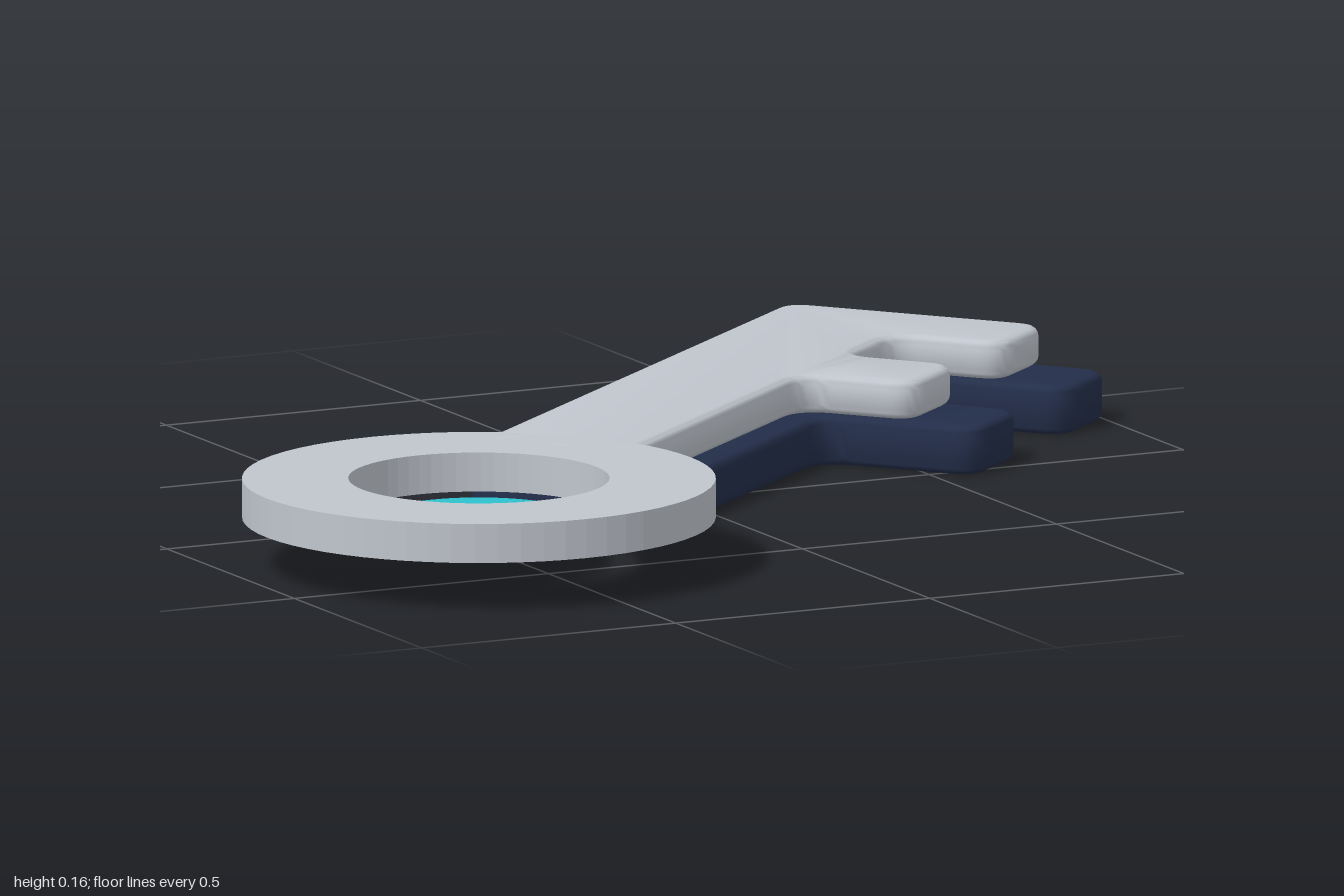
import * as THREE from 'three';
import { toCreasedNormals } from 'three/addons/utils/BufferGeometryUtils.js';

const makeMaterial = (name, color) => {
  const m = new THREE.MeshStandardMaterial({ color });
  m.name = name;
  return m;
};

// Polygon with every corner rounded by radius r
function roundedShape(points, r) {
  const shape = new THREE.Shape();
  const v = points.map(([x, y]) => new THREE.Vector2(x, y));
  v.forEach((p, i) => {
    const toward = (q) => q.clone().sub(p).setLength(r).add(p);
    const a = toward(v[(i + v.length - 1) % v.length]);
    const b = toward(v[(i + 1) % v.length]);
    if (i === 0) shape.moveTo(a.x, a.y);
    else shape.lineTo(a.x, a.y);
    shape.quadraticCurveTo(p.x, p.y, b.x, b.y);
  });
  shape.closePath();
  return shape;
}

// Lay a shape flat between two heights, with an optional rounded rim
function slab(name, shape, bottom, top, bevel, material, curveSegments) {
  const geo = new THREE.ExtrudeGeometry(shape, {
    depth: top - bottom - 2 * bevel,
    bevelEnabled: bevel > 0,
    bevelThickness: bevel,
    bevelSize: bevel,
    bevelOffset: -bevel,
    bevelSegments: 4,
    curveSegments,
  });
  geo.translate(0, 0, bottom + bevel);
  geo.rotateX(-Math.PI / 2);
  const mesh = new THREE.Mesh(bevel > 0 ? toCreasedNormals(geo, 0.7) : geo, material);
  mesh.name = name;
  return mesh;
}

// Key shaft with two teeth: half = half width of the bar, tip = reach of the teeth
function bladeShape(start, half, tip) {
  const end = 1.68;
  return roundedShape([
    [start, -half],
    [1.09, -half], [1.09, -tip], [1.29, -tip], [1.29, -half],
    [1.485, -half], [1.485, -tip], [end, -tip],
    [end, half], [start, half],
  ], 0.055);
}

function circleShape(radius, hole) {
  const shape = new THREE.Shape().absarc(0, 0, radius, 0, Math.PI * 2, false);
  if (hole) shape.holes.push(new THREE.Path().absarc(0, 0, hole, 0, Math.PI * 2, true));
  return shape;
}

export function createModel() {
  const silver = makeMaterial('silver', 0xc0c5cd);
  const navy = makeMaterial('navy', 0x232e4a);
  const teal = makeMaterial('teal', 0x2ec2cf);

  // Built around the ring centre with the shaft along +x, then turned
  const key = new THREE.Group();
  key.name = 'key';
  key.add(
    slab('ring', circleShape(0.417, 0.23), 0.09, 0.16, 0, silver, 32),
    slab('upperBlade', bladeShape(0.31, 0.143, 0.358), 0.09, 0.16, 0.018, silver, 8),
    slab('lowerBlade', bladeShape(0.345, 0.181, 0.48), 0, 0.088, 0.018, navy, 8),
    slab('centreDisc', circleShape(0.187), 0.048, 0.09, 0.01, teal, 32),
  );
  key.rotation.y = THREE.MathUtils.degToRad(39.8);
  key.position.set(-0.583, 0, 0.393);

  const model = new THREE.Group();
  model.name = 'model';
  model.add(key);
  return model;
}
